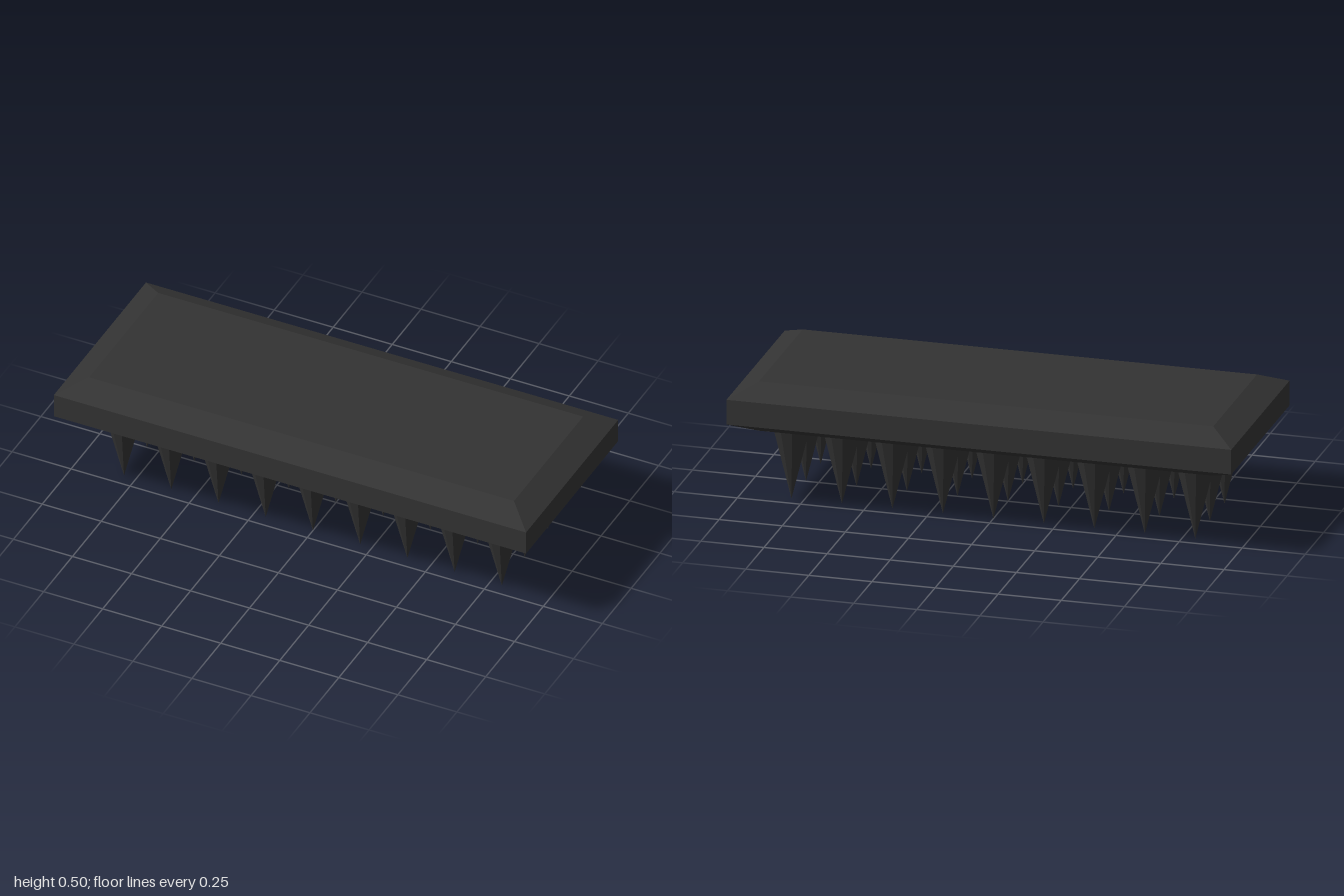
import * as THREE from 'three';

export function createModel() {
  const model = new THREE.Group();
  model.name = 'spikedPlate';
  const charcoal = new THREE.MeshStandardMaterial({ color: 0x333333, flatShading: true });
  charcoal.name = 'charcoal';

  // Slab with bevelled upper and lower rims: the outermost rings are drawn inward
  const slabGeometry = new THREE.BoxGeometry(2, 0.2, 0.8, 1, 3, 1);
  const p = slabGeometry.attributes.position;
  for (let i = 0; i < p.count; i++) {
    const y = p.getY(i);
    if (Math.abs(y) > 0.09) {
      p.setX(i, Math.sign(p.getX(i)) * 0.9);
      p.setZ(i, Math.sign(p.getZ(i)) * 0.3);
    } else {
      p.setY(i, Math.sign(y) * 0.05);
    }
  }
  slabGeometry.computeVertexNormals();
  const slab = new THREE.Mesh(slabGeometry, charcoal);
  slab.name = 'slab';
  slab.position.y = 0.4;
  model.add(slab);

  // Ten-sided spikes pointing down, in three rows of nine
  const spikeGeometry = new THREE.ConeGeometry(0.075, 0.3, 10, 1, true);
  spikeGeometry.rotateX(Math.PI).rotateY(Math.PI / 2);
  const spikes = new THREE.Group();
  spikes.name = 'spikes';
  for (let row = -1; row <= 1; row++) {
    for (let col = -4; col <= 4; col++) {
      const spike = new THREE.Mesh(spikeGeometry, charcoal);
      spike.name = 'spike';
      spike.position.set(col * 0.2, 0.15, row * 0.2);
      spikes.add(spike);
    }
  }
  model.add(spikes);
  return model;
}
